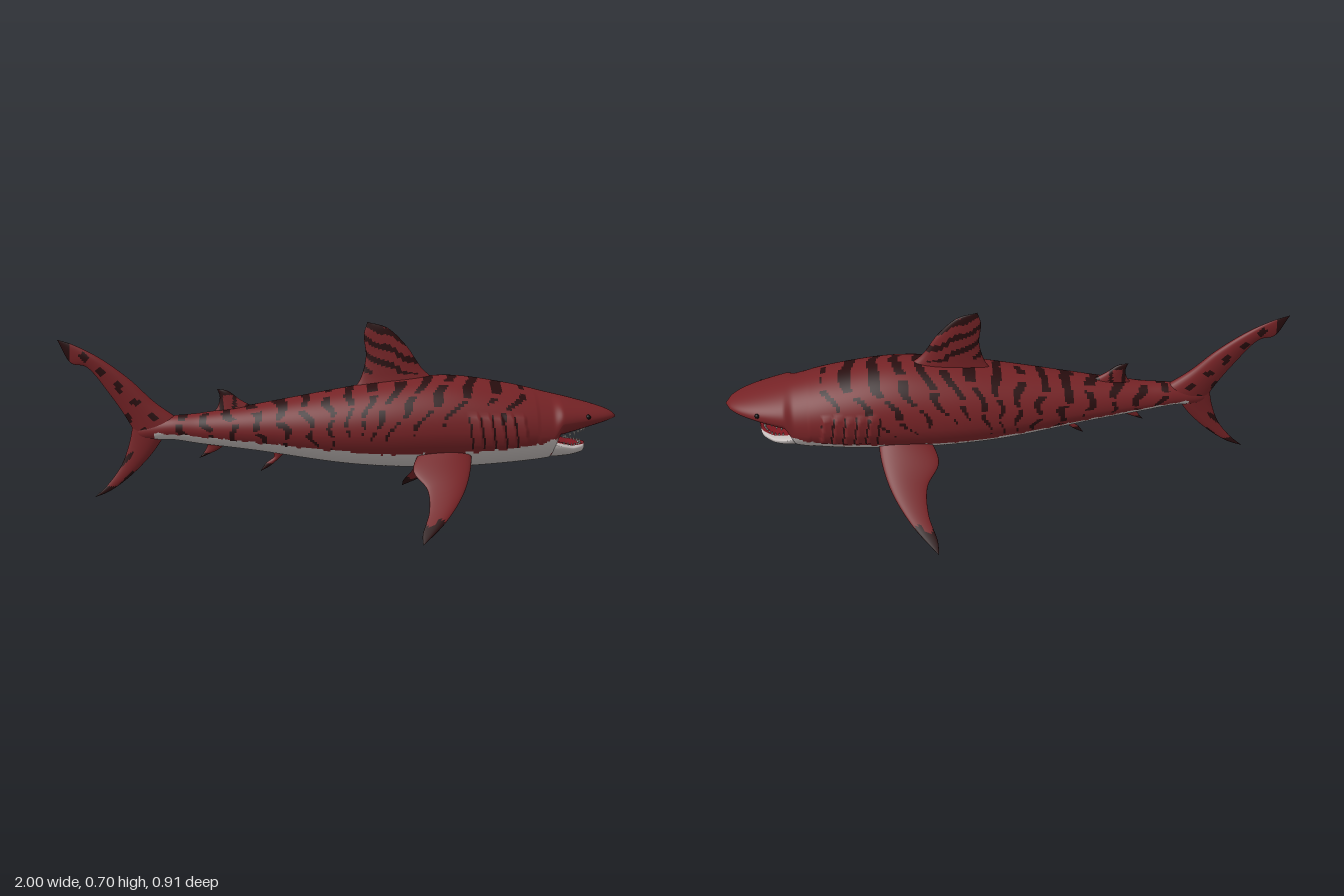
import * as THREE from 'three';

const colour = (name, color) => { const m = new THREE.MeshStandardMaterial({ color }); m.name = name; return m; };
const MATS = [
  colour('deep red skin', 0x762326), colour('dark stripe', 0x280d0e), colour('pale belly', 0xc2bbb9),
  colour('mouth red', 0x7c1820), colour('tooth white', 0xddd8d0), colour('eye black', 0x0c0909),
];
const [RED, DARK, PALE, MOUTH, TOOTH, EYE] = [0, 1, 2, 3, 4, 5];
const { lerp, smoothstep } = THREE.MathUtils;
const hash = (k) => { const s = Math.sin(k * 12.9898 + 4.1) * 43758.5453; return s - Math.floor(s); };

// Smooth lookup in rows of [x, value, value...]
function lookup(rows, x, col) {
  let i = 0;
  while (i < rows.length - 2 && x > rows[i + 1][0]) i++;
  const a = rows[i], b = rows[i + 1], p = rows[Math.max(i - 1, 0)], q = rows[Math.min(i + 2, rows.length - 1)];
  const h = b[0] - a[0], t = (x - a[0]) / h;
  const m0 = (b[col] - p[col]) / (b[0] - p[0]) * h, m1 = (q[col] - a[col]) / (q[0] - a[0]) * h;
  const t2 = t * t, t3 = t2 * t;
  return (2 * t3 - 3 * t2 + 1) * a[col] + (t3 - 2 * t2 + t) * m0 + (3 * t2 - 2 * t3) * b[col] + (t3 - t2) * m1;
}

// Closed loft: point(u, angle) gives the surface, paint(centre) gives the colour of each face
function loft(name, rows, sides, point, paint) {
  const pts = [];
  for (let i = 0; i <= rows; i++)
    for (let j = 0; j < sides; j++) pts.push(point(i / rows, (j / sides) * Math.PI * 2));
  const lists = MATS.map(() => []);
  const centre = new THREE.Vector3(), cross = new THREE.Vector3();
  let volume = 0;
  for (let i = 0; i < rows; i++) {
    for (let j = 0; j < sides; j++) {
      const k = (j + 1) % sides;
      const a = i * sides + j, b = i * sides + k, c = a + sides, d = b + sides;
      centre.copy(pts[a]).add(pts[b]).add(pts[c]).add(pts[d]).multiplyScalar(0.25);
      lists[paint(centre)].push(a, b, c, b, d, c);
      for (const [p, q, r] of [[a, b, c], [b, d, c]]) {
        const o = pts[0];
        cross.copy(pts[q]).sub(o).cross(pts[r].clone().sub(o));
        volume += pts[p].clone().sub(o).dot(cross);
      }
    }
  }
  const index = [], used = [];
  const geo = new THREE.BufferGeometry().setFromPoints(pts);
  lists.forEach((list, m) => {
    if (!list.length) return;
    if (volume < 0) for (let n = 0; n < list.length; n += 3) [list[n], list[n + 1]] = [list[n + 1], list[n]];
    geo.addGroup(index.length, list.length, used.length);
    used.push(MATS[m]);
    for (const v of list) index.push(v);
  });
  geo.setIndex(index);
  geo.computeVertexNormals();
  const mesh = new THREE.Mesh(geo, used);
  mesh.name = name;
  return mesh;
}

// Body profile: x, top, bottom, half width
const BODY = [
  [-0.74, 0.32, 0.30, 0.004], [-0.70, 0.345, 0.285, 0.022], [-0.6, 0.37, 0.285, 0.042], [-0.5, 0.38, 0.27, 0.055],
  [-0.3, 0.412, 0.245, 0.09], [0, 0.467, 0.2, 0.143], [0.2, 0.5, 0.185, 0.166], [0.4, 0.513, 0.183, 0.172],
  [0.6, 0.485, 0.197, 0.168], [0.75, 0.45, 0.215, 0.148], [0.85, 0.425, 0.24, 0.12], [0.93, 0.402, 0.3, 0.084],
  [0.98, 0.382, 0.345, 0.042], [1, 0.365, 0.359, 0],
];
// Edge between red back and pale belly
const BELLY = [[-0.75, 0.31], [-0.6, 0.31], [-0.3, 0.285], [0, 0.262], [0.2, 0.25], [0.3, 0.26], [0.5, 0.262],
  [0.66, 0.28], [0.75, 0.3], [0.85, 0.32], [0.95, 0.35], [1, 0.36]];
const upperLip = (x) => 0.295 + (x - 0.78) * 0.29;
const gillPhase = (x, y) => (x - 0.455 + (y - 0.33) * 0.15) / 0.04;
const inGills = (x, y) => { const g = gillPhase(x, y); return g > 0 && g < 5 && y > 0.275 && y < 0.39; };

function bodyPoint(x, a) {
  const top = lookup(BODY, x, 1), w = lookup(BODY, x, 3);
  const bottom = lerp(lookup(BODY, x, 2), upperLip(x), smoothstep(x, 0.75, 0.79));
  const mid = lerp(bottom, top, x > 0.7 ? 0.42 : 0.45);
  const s = Math.sin(a), c = Math.cos(a);
  const y = s > 0 ? mid + (top - mid) * s : mid - (mid - bottom) * Math.pow(-s, 1.1);
  let z = w * Math.sign(c) * Math.pow(Math.abs(c), s > 0 ? 1.08 : 0.9);
  if (inGills(x, y)) z *= 1 + 0.05 * (gillPhase(x, y) % 1);
  return new THREE.Vector3(x, y, z);
}

function bodyPaint({ x, y, z }) {
  // Mouth lining and gill slits
  const half = lookup(BODY, x, 3);
  if (x > 0.752 && x < 0.88 && y < upperLip(x) + 0.012 && Math.abs(z) < half * 0.72) return MOUTH;
  if (inGills(x, y) && gillPhase(x, y) % 1 < 0.17) return DARK;
  // Pale underside with a red band between the pectoral fins
  const edge = lookup(BELLY, x, 1) + 0.004 * Math.sin(x * 95) * Math.sin(x * 37);
  if (y < edge && x > -0.665 && !(x > 0.3 && x < 0.44)) return PALE;
  // Wavy stripes fading out down the flanks
  if (x < -0.62 || x > 0.66) return RED;
  const d = lookup(BODY, x, 1) - y;
  const slant = lerp(-0.25, 0.8, smoothstep(x, -0.1, 0.2));
  const s = (x + slant * d + 0.012 * Math.sin(d * 70 + x * 14 + (z > 0 ? 0 : 1.5))) / 0.088;
  const k = Math.floor(s);
  const reach = (x > 0.45 ? 0.07 : x < -0.25 ? 0.08 : 0.14) + 0.07 * hash(k + (z > 0 ? 0 : 40));
  const width = (0.46 - 0.12 * hash(k + 9)) * Math.sqrt(Math.max(0, 1 - d / reach));
  return Math.abs(s - k - 0.5) < width * 0.5 && Math.sin(d * 85 + k * 2.3) > -0.88 ? DARK : RED;
}

// Fin between a leading and a trailing edge, lens-shaped in section
function fin(name, lead, trail, thick, normal, paint) {
  const curve = (p) => new THREE.CatmullRomCurve3(p.map((q) => new THREE.Vector3(q[0], q[1], q[2] || 0)));
  const A = curve(lead), B = curve([...trail, lead[lead.length - 1]]);
  return loft(name, 44, 36, (u, a) => {
    const t = thick * (1 - u) ** 1.2 + 0.005 * Math.sqrt(1 - u);
    const c = (1 - Math.cos(a)) / 2;
    return A.getPoint(u).lerp(B.getPoint(u), c)
      .addScaledVector(normal, t * Math.sin(a) * (1.15 - 0.5 * c));
  }, paint);
}

export function createModel() {
  const model = new THREE.Group();
  model.name = 'shark';
  const add = (...m) => model.add(...m);
  const side = new THREE.Vector3(0, 0, 1);

  add(loft('body', 250, 96, (u, a) => bodyPoint(-0.74 + 1.74 * (1 - (1 - u) ** 1.25), a), bodyPaint));

  // Lower jaw: x, bottom, half width
  const JAW = [[0.68, 0.215, 0.11], [0.77, 0.219, 0.122], [0.82, 0.224, 0.105], [0.86, 0.231, 0.075], [0.88, 0.238, 0.045], [0.89, 0.252, 0]];
  const jawTop = (x) => 0.268 + Math.max(0, 0.83 - x) * 0.25;
  add(loft('lower jaw', 40, 48, (u, a) => {
    const x = 0.68 + 0.21 * (1 - (1 - u) ** 1.4);
    const s = Math.sin(a), mid = jawTop(x) - 0.008;
    const y = s > 0 ? mid + 0.008 * Math.sin(2 * a) * Math.sign(Math.cos(a)) : mid + (mid - lookup(JAW, x, 1)) * s;
    return new THREE.Vector3(x, y, lookup(JAW, x, 2) * Math.cos(a));
  }, ({ x, y, z }) => (y > jawTop(x) - 0.012 && Math.abs(z) < lookup(JAW, x, 2) * 0.8 ? MOUTH : PALE)));

  // Two rows of small teeth
  const teeth = new THREE.Group();
  teeth.name = 'teeth';
  const toothGeo = new THREE.ConeGeometry(0.005, 0.016, 5);
  for (let i = -8; i <= 8; i++) {
    const a = i * 0.17;
    for (const upper of [true, false]) {
      const tooth = new THREE.Mesh(toothGeo, MATS[TOOTH]);
      const x = 0.78 + (upper ? 0.11 : 0.092) * Math.cos(a);
      tooth.position.set(x, upper ? upperLip(x) - 0.002 : jawTop(x) + 0.003, 0.088 * Math.sin(a));
      if (upper) tooth.rotation.x = Math.PI;
      tooth.name = upper ? 'upper tooth' : 'lower tooth';
      teeth.add(tooth);
    }
  }
  add(teeth);

  // Eyes
  for (const a of [0.22, Math.PI - 0.22]) {
    const eye = new THREE.Mesh(new THREE.SphereGeometry(0.009, 16, 12), MATS[EYE]);
    eye.name = 'eye';
    eye.position.copy(bodyPoint(0.88, a));
    eye.position.z *= 0.97;
    add(eye);
  }

  // Fins along the middle of the body
  add(fin('dorsal fin',
    [[0.37, 0.48], [0.30, 0.535], [0.24, 0.62], [0.17, 0.685], [0.10, 0.705]],
    [[0.04, 0.45], [0.075, 0.5], [0.095, 0.58], [0.088, 0.66]], 0.03, side,
    ({ x, y }) => (y > 0.685 || (y > 0.52 && Math.sin((y + 0.45 * x + 0.006 * Math.sin(x * 60)) * 112) > 0.3) ? DARK : RED)));
  add(fin('second dorsal fin',
    [[-0.28, 0.39], [-0.35, 0.425], [-0.40, 0.46], [-0.437, 0.467]],
    [[-0.46, 0.37], [-0.435, 0.405], [-0.428, 0.44]], 0.015, side,
    ({ x, y }) => (y > 0.445 || Math.sin(x * 130) > 0.65 ? DARK : RED)));
  add(fin('pelvic fin',
    [[-0.18, 0.25], [-0.215, 0.215], [-0.25, 0.185], [-0.285, 0.165]],
    [[-0.26, 0.26], [-0.235, 0.222], [-0.265, 0.195]], 0.012, side, ({ y }) => (y < 0.195 ? DARK : RED)));
  add(fin('anal fin',
    [[-0.40, 0.28], [-0.43, 0.25], [-0.47, 0.23], [-0.505, 0.215]],
    [[-0.49, 0.29], [-0.475, 0.265], [-0.485, 0.24]], 0.012, side, ({ y }) => (y < 0.235 ? DARK : RED)));

  // Tail with a long upper lobe, notched near the tip
  add(fin('upper tail lobe',
    [[-0.57, 0.355], [-0.66, 0.42], [-0.75, 0.505], [-0.86, 0.585], [-0.95, 0.63], [-1, 0.646]],
    [[-0.72, 0.28], [-0.755, 0.35], [-0.82, 0.45], [-0.9, 0.548], [-0.953, 0.562]], 0.028, side,
    ({ x, y }) => (x < -0.955 || (x < -0.62 && Math.sin((x - 0.5 * y) * 72) > 0.35 && Math.sin((y + 0.9 * x) * 75) > 0.25) ? DARK : RED)));
  add(fin('lower tail lobe',
    [[-0.62, 0.31], [-0.68, 0.225], [-0.76, 0.145], [-0.83, 0.095], [-0.885, 0.072]],
    [[-0.74, 0.34], [-0.755, 0.27], [-0.785, 0.19], [-0.835, 0.12]], 0.018, side,
    ({ x, y }) => (y < 0.115 || (y < 0.24 && Math.sin((y - x) * 85) > 0.6 && x < -0.74) ? DARK : RED)));

  // Drooping pectoral fins
  for (const s of [1, -1]) {
    const place = ([x, z]) => [x, 0.233 - (z - 0.15) * 0.74, z * s];
    add(fin(s > 0 ? 'front pectoral fin' : 'rear pectoral fin',
      [[0.465, 0.1], [0.455, 0.18], [0.42, 0.275], [0.35, 0.375], [0.265, 0.457]].map(place),
      [[0.29, 0.1], [0.252, 0.19], [0.295, 0.26], [0.295, 0.34], [0.266, 0.42]].map(place),
      0.02, new THREE.Vector3(0, 0.8, 0.6 * s),
      ({ x, z }) => (Math.abs(z) > 0.385 + 0.012 * Math.sin(x * 90) ? DARK : RED)));
  }
  return model;
}
